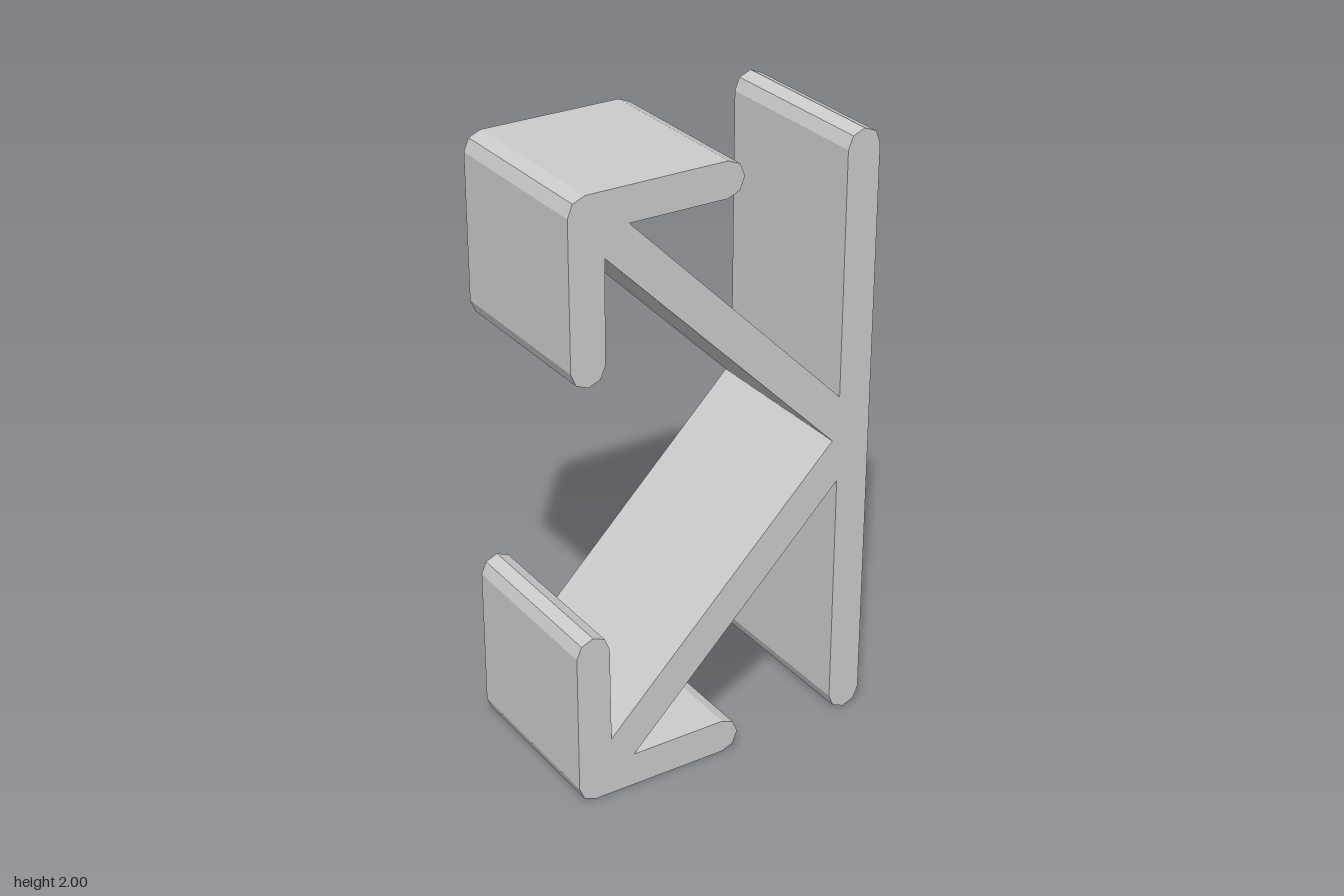
import * as THREE from 'three';

const R = 0.057;      // half the thickness of every bar
const DEPTH = 0.586;

// Faceted arc, counter-clockwise, one point per 45 degrees
function arc(cx, cy, from, to) {
  const pts = [];
  for (let a = from; a <= to; a += 45) {
    const t = THREE.MathUtils.degToRad(a);
    pts.push(new THREE.Vector2(cx + R * Math.cos(t), cy + R * Math.sin(t)));
  }
  return pts;
}

export function createModel() {
  const group = new THREE.Group();
  group.name = 'bracket';
  const grey = new THREE.MeshStandardMaterial({ color: 0xcccccc });
  grey.name = 'light grey';

  const p = (x, y) => new THREE.Vector2(x, y);

  // Upper half of the outline, from the upright's top round to the inner notch
  const upper = [
    ...arc(0.469, 2 - R, 0, 180),        // rounded top of the upright
    p(0.412, 1.145), p(-0.33, 1.887),    // upper side of the diagonal brace
    ...arc(-0.004, 2 - R, -90, 90),      // tip of the horizontal arm
    ...arc(-0.469, 2 - R, 90, 180),      // outer corner
    ...arc(-0.469, 1.474, 180, 360),     // tip of the vertical arm
    p(-0.41, 1.8),                       // lower side of the diagonal brace
  ];
  // Lower half mirrors the upper one about y = 1
  const lower = upper.map((v) => p(v.x, 2 - v.y)).reverse();
  const shape = new THREE.Shape([...upper, p(0.39, 1), ...lower]);

  const geometry = new THREE.ExtrudeGeometry(shape, { depth: DEPTH, bevelEnabled: false });
  geometry.translate(0, 0, -DEPTH / 2);
  const body = new THREE.Mesh(geometry, grey);
  body.name = 'uprightBracesAndArms';
  group.add(body);
  return group;
}
